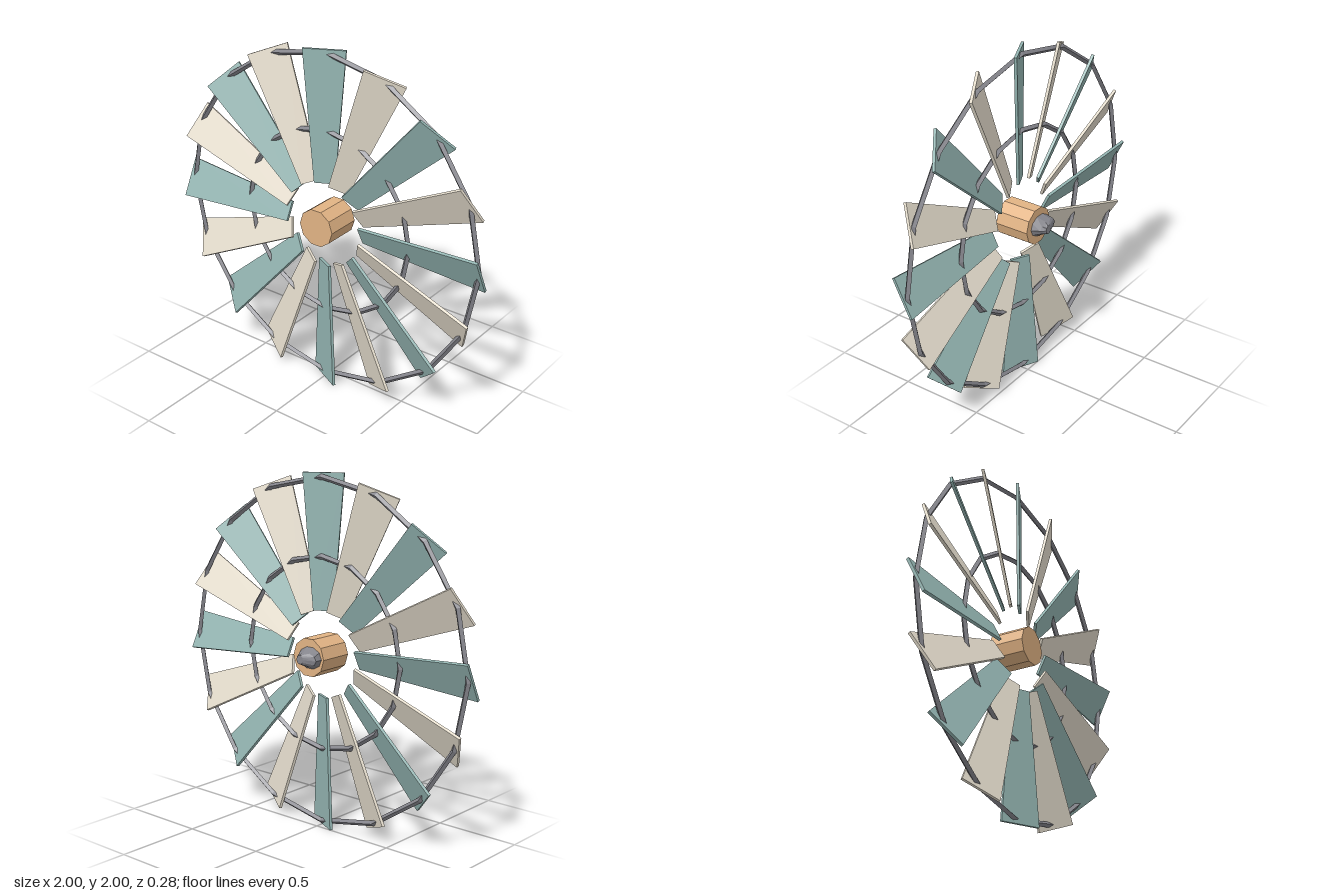
import * as THREE from 'three';

const paint = (name, color) => {
  const m = new THREE.MeshStandardMaterial({ color, flatShading: true });
  m.name = name;
  return m;
};

// Closed loft through elliptical rings stacked along z (from high z to low z)
function loft(rings, sides) {
  const pos = [], idx = [];
  for (const [z, cx, rx, ry] of rings) {
    for (let i = 0; i < sides; i++) {
      const a = (i / sides) * Math.PI * 2;
      pos.push(cx + rx * Math.cos(a), ry * Math.sin(a), z);
    }
  }
  for (let r = 0; r < rings.length - 1; r++) {
    for (let i = 0; i < sides; i++) {
      const j = (i + 1) % sides;
      const a = r * sides + i, b = r * sides + j;
      idx.push(a, a + sides, b, b, a + sides, b + sides);
    }
  }
  const end = (rings.length - 1) * sides;
  for (let i = 1; i < sides - 1; i++) idx.push(end, end + i + 1, end + i);
  const g = new THREE.BufferGeometry();
  g.setAttribute('position', new THREE.Float32BufferAttribute(pos, 3));
  g.setIndex(idx);
  const flat = g.toNonIndexed();
  flat.computeVertexNormals();
  return flat;
}

// Flat blade that widens towards its outer end
function bladeGeometry(inner, outer, innerHalf, outerHalf, thickness) {
  const g = new THREE.BoxGeometry(2, outer - inner, thickness);
  g.translate(0, (inner + outer) / 2, 0);
  const p = g.attributes.position;
  for (let i = 0; i < p.count; i++) {
    const half = p.getY(i) > (inner + outer) / 2 ? outerHalf : innerHalf;
    p.setX(i, p.getX(i) * half);
  }
  g.computeVertexNormals();
  return g;
}

export function createModel() {
  const model = new THREE.Group();
  model.name = 'windmillWheel';
  const teal = paint('teal', 0x94b5b2);
  const cream = paint('cream', 0xe6dece);
  const wood = paint('wood', 0xe1b384);
  const metal = paint('metal', 0x85858c);

  const wheel = new THREE.Group();
  wheel.name = 'wheel';
  wheel.position.y = 1;
  model.add(wheel);

  const add = (name, geometry, material, parent = wheel) => {
    const mesh = new THREE.Mesh(geometry, material);
    mesh.name = name;
    parent.add(mesh);
    return mesh;
  };

  // Sixteen pitched blades in alternating colours
  const blade = bladeGeometry(0.243, 0.998, 0.058, 0.116, 0.016);
  for (let i = 0; i < 16; i++) {
    const arm = new THREE.Group();
    arm.name = 'bladeArm';
    arm.position.z = 0.055;
    arm.rotation.z = (i * Math.PI) / 8;
    add('blade', blade, i % 2 ? cream : teal, arm).rotation.y = 0.46;
    wheel.add(arm);
  }

  // Two diamond-section rods bent into rings that pass through the blades
  for (const [name, radius] of [['outerRing', 0.975], ['innerRing', 0.545]]) {
    add(name, new THREE.TorusGeometry(radius, 0.016, 4, 16), metal).position.z = 0.041;
  }

  // Ten-sided hub
  const hub = new THREE.CylinderGeometry(0.11, 0.11, 0.205, 10);
  hub.rotateY(Math.PI / 2);
  hub.rotateX(Math.PI / 2);
  add('hub', hub, wood).position.z = 0.0325;

  // Lopsided axle cap behind the hub
  add('axleCap', loft([
    [-0.068, -0.012, 0.082, 0.064],
    [-0.115, -0.025, 0.07, 0.039],
    [-0.14, 0.002, 0.023, 0.026],
  ], 10), metal);

  return model;
}
